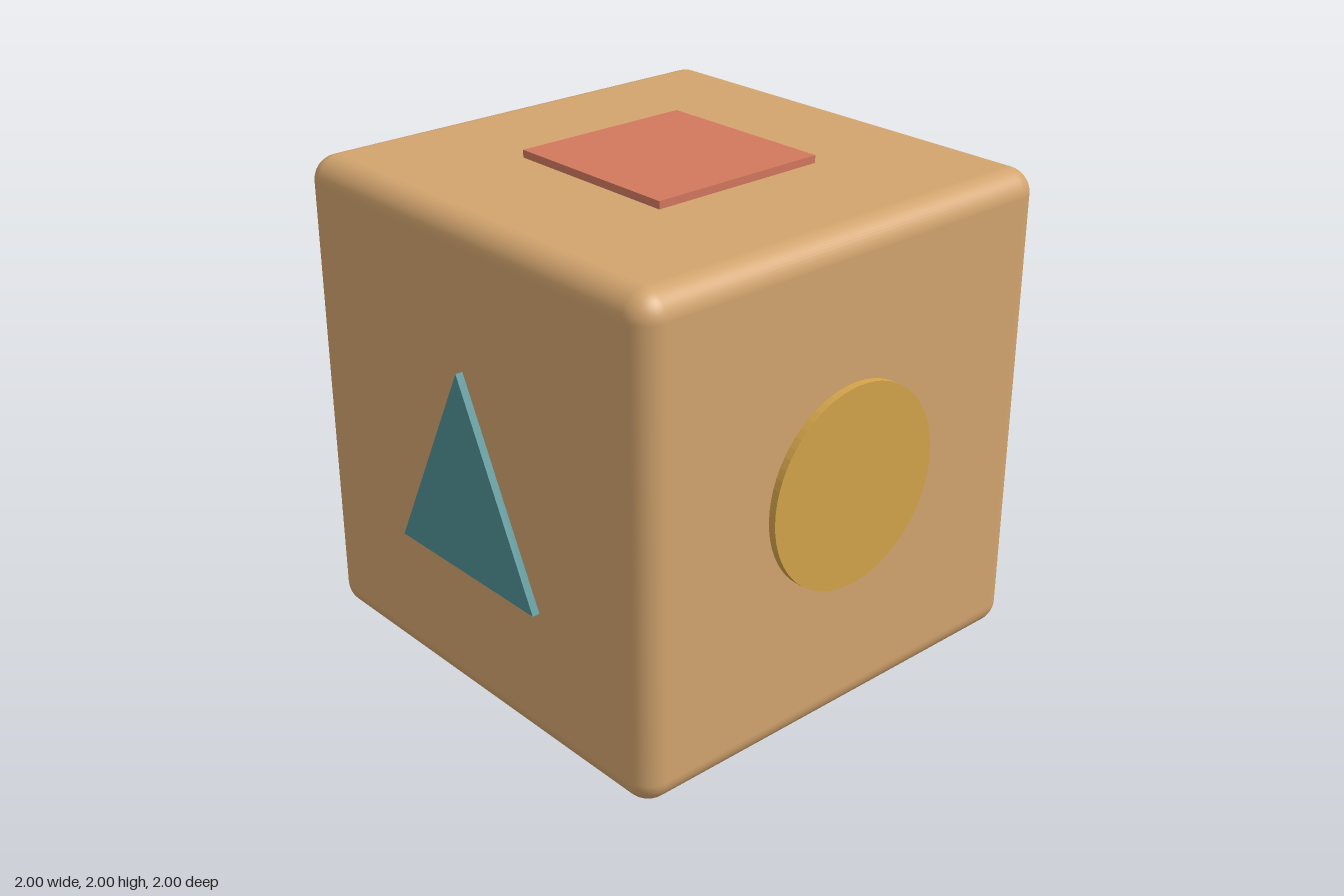
import * as THREE from 'three';
import { RoundedBoxGeometry } from 'three/addons/geometries/RoundedBoxGeometry.js';

const material = (name, color) => {
  const m = new THREE.MeshStandardMaterial({ color });
  m.name = name;
  return m;
};

const SIZE = 1.94;    // block edge length
const RAISED = 0.03;  // how far each plate stands out
const SUNK = 0.02;    // how far each plate is set into the block

export function createModel() {
  const wood = material('tan wood', 0xd2a46e);
  const yellow = material('mustard yellow', 0xd4a44a);
  const teal = material('teal', 0x4f9094);
  const red = material('brick red', 0xd2785e);

  const model = new THREE.Group();
  model.name = 'shapeBlock';

  // Block with rounded edges
  const block = new THREE.Mesh(new RoundedBoxGeometry(SIZE, SIZE, SIZE, 6, 0.1), wood);
  block.name = 'block';
  block.position.y = 1;
  model.add(block);

  // Outlines of the three plates
  const circle = new THREE.Shape();
  circle.absarc(0, 0, 0.4, 0, Math.PI * 2);
  const triangle = new THREE.Shape([
    new THREE.Vector2(-0.4, -0.405),
    new THREE.Vector2(0.4, -0.405),
    new THREE.Vector2(0, 0.405),
  ]);
  const h = 0.382;
  const square = new THREE.Shape([
    new THREE.Vector2(-h, -h),
    new THREE.Vector2(h, -h),
    new THREE.Vector2(h, h),
    new THREE.Vector2(-h, h),
  ]);

  // Extrudes a plate facing +z, then turns it onto its face of the block
  const addPlate = (name, shape, mat, rx, ry) => {
    const geometry = new THREE.ExtrudeGeometry(shape, {
      depth: RAISED + SUNK, bevelEnabled: false, curveSegments: 32,
    });
    geometry.translate(0, 0, SIZE / 2 - SUNK);
    const plate = new THREE.Mesh(geometry, mat);
    plate.name = name;
    plate.rotation.set(rx, ry, 0);
    plate.position.y = 1;
    model.add(plate);
  };

  // Matching plates on opposite faces
  const q = Math.PI / 2;
  addPlate('frontCircle', circle, yellow, 0, 0);
  addPlate('backCircle', circle, yellow, 0, Math.PI);
  addPlate('leftTriangle', triangle, teal, 0, q);
  addPlate('rightTriangle', triangle, teal, 0, -q);
  addPlate('topSquare', square, red, -q, 0);
  addPlate('bottomSquare', square, red, q, 0);

  return model;
}
